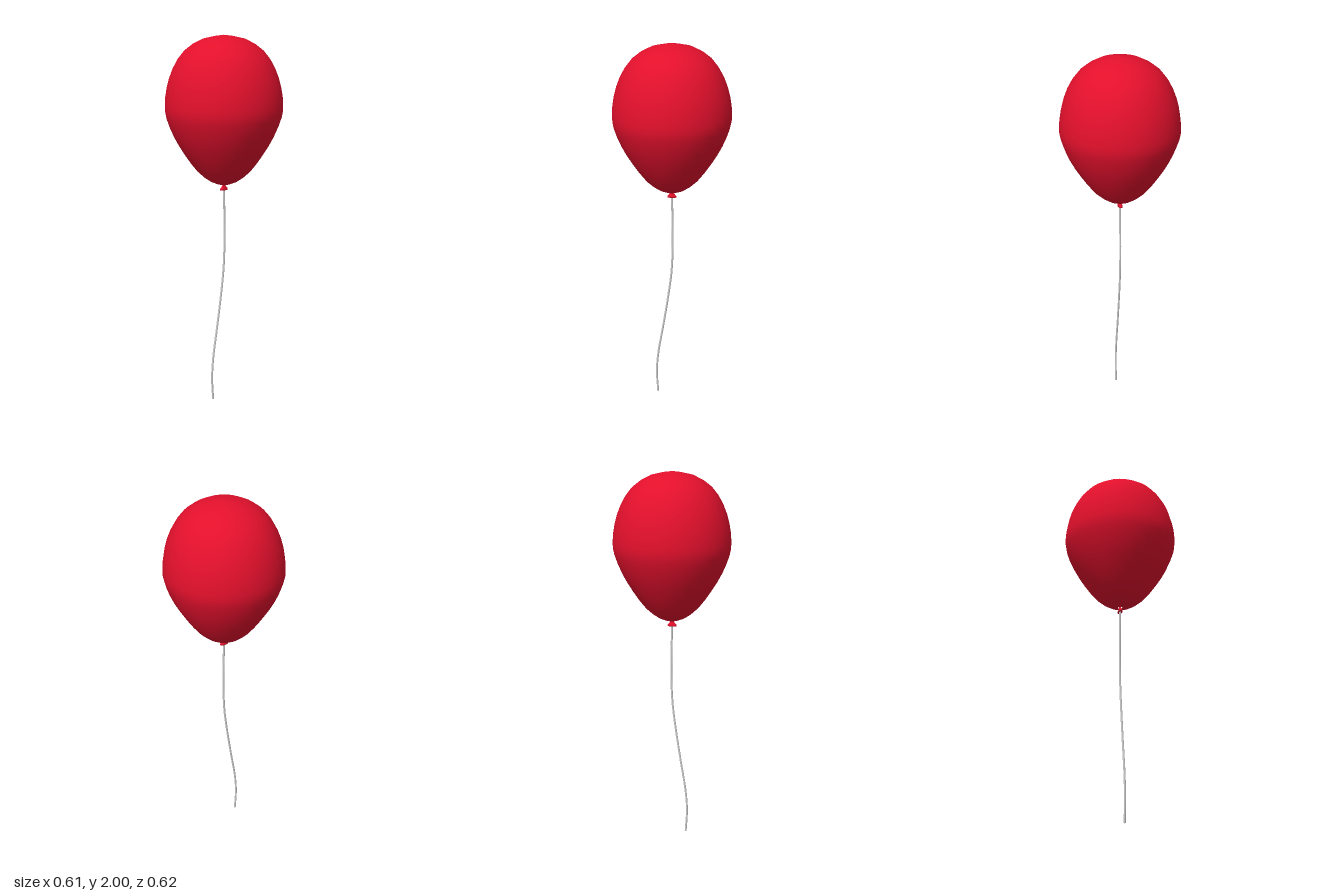
import * as THREE from 'three';

const red = new THREE.MeshStandardMaterial({ color: 0xe3102c });
const grey = new THREE.MeshStandardMaterial({ color: 0xcccccc });

function addPart(group, name, geometry, material) {
  const mesh = new THREE.Mesh(geometry, material);
  mesh.name = name;
  group.add(mesh);
  return mesh;
}

const toVectors = (pairs) => pairs.map(([r, y]) => new THREE.Vector2(r, y));

export function createModel() {
  const group = new THREE.Group();
  group.name = 'balloon';

  // Inflated body: rounded crown, widest above the middle, tapering to the neck
  const outline = new THREE.SplineCurve(toVectors([
    [0.012, 1.215], [0.07, 1.235], [0.14, 1.29], [0.21, 1.385], [0.265, 1.48],
    [0.302, 1.575], [0.309, 1.64], [0.298, 1.73], [0.265, 1.83], [0.205, 1.92],
    [0.11, 1.98], [0, 2],
  ]));
  const profile = outline.getPoints(22);
  profile[profile.length - 1].set(0, 2);
  addPart(group, 'body', new THREE.LatheGeometry(profile, 30), red);

  // Knot: a pinched neck opening into a flattened, closed lip
  const knot = addPart(group, 'knot', new THREE.LatheGeometry(toVectors([
    [0, 1.19], [0.024, 1.187], [0.025, 1.193], [0.015, 1.205],
    [0.009, 1.214], [0.014, 1.222], [0.012, 1.23],
  ]), 16), red);
  knot.scale.z = 0.5;

  // String: a thin tube that swings gently to one side
  const path = new THREE.CatmullRomCurve3([
    [0, 1.2], [0.003, 1.05], [0.004, 0.9], [-0.003, 0.75], [-0.022, 0.6],
    [-0.05, 0.42], [-0.078, 0.25], [-0.087, 0.13], [-0.08, 0.001],
  ].map(([x, y]) => new THREE.Vector3(x, y, 0)));
  addPart(group, 'string', new THREE.TubeGeometry(path, 48, 0.0055, 8), grey);

  // Cap on the loose end of the string
  const cap = addPart(group, 'stringEnd', new THREE.CircleGeometry(0.0055, 8), grey);
  cap.rotation.x = Math.PI / 2;
  cap.position.set(-0.08, 0.001, 0);

  return group;
}
